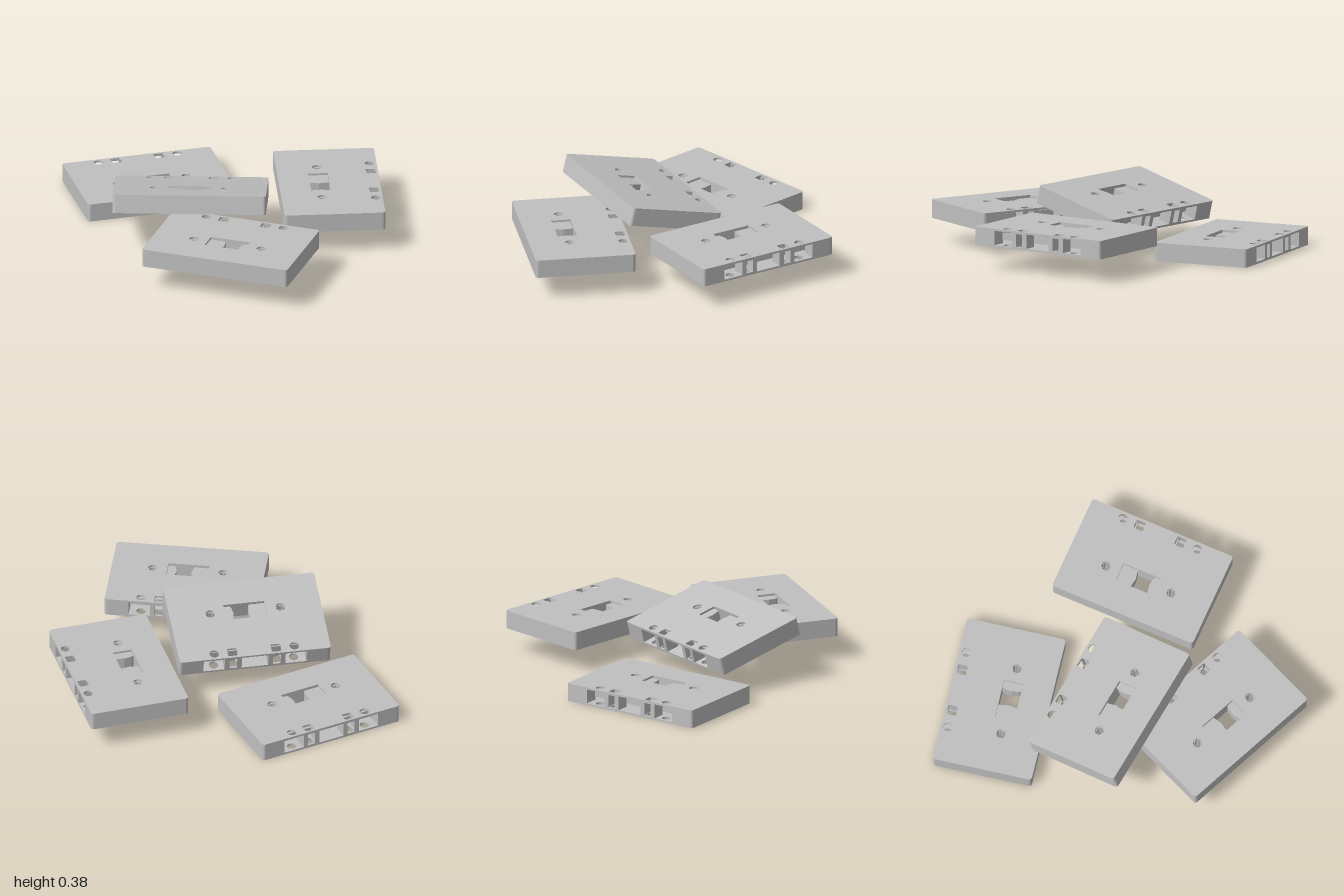
import * as THREE from 'three';

const W = 0.44, D = 0.29, H = 0.107;      // half width, half depth, height
const T = 0.012, WALL = 0.015;            // plate and wall thickness
const HUB_X = 0.204, HUB_Z = 0.056;       // spool centres
const SLOT = 0.30;                        // half length of the open edge
const POST_X = 0.127, HOLE_Z = -0.249;

const grey = new THREE.MeshStandardMaterial({ color: 0xc0c0c0 });
grey.name = 'grey plastic';

// Shapes are drawn looking down on the shell: shape y is -z
function roundedRect(target, cx, cz, w, d, r) {
  const x0 = cx - w / 2, x1 = cx + w / 2, y0 = -cz - d / 2, y1 = -cz + d / 2;
  target.moveTo(x0 + r, y0);
  target.lineTo(x1 - r, y0).quadraticCurveTo(x1, y0, x1, y0 + r);
  target.lineTo(x1, y1 - r).quadraticCurveTo(x1, y1, x1 - r, y1);
  target.lineTo(x0 + r, y1).quadraticCurveTo(x0, y1, x0, y1 - r);
  target.lineTo(x0, y0 + r).quadraticCurveTo(x0, y0, x0 + r, y0);
  return target;
}

function circle(target, cx, cz, r) {
  target.absarc(cx, -cz, r, 0, Math.PI * 2, false);
  return target;
}

// Extrude a plan shape upward, centred on height y
function slab(shape, height, y) {
  const g = new THREE.ExtrudeGeometry(shape, { depth: height, bevelEnabled: false, curveSegments: 10 });
  g.rotateX(-Math.PI / 2);
  g.translate(0, y - height / 2, 0);
  return g;
}

function add(group, name, geometry) {
  const mesh = new THREE.Mesh(geometry, grey);
  mesh.name = name;
  group.add(mesh);
}

function box(w, h, d, x, y, z) {
  return new THREE.BoxGeometry(w, h, d).translate(x, y, z);
}

// Face plate with spool holes, window and guide holes
function plateShape() {
  const s = roundedRect(new THREE.Shape(), 0, 0, W * 2, D * 2, 0.02);
  s.holes.push(roundedRect(new THREE.Path(), 0, HUB_Z, 0.238, 0.112, 0.001));
  for (const side of [-1, 1]) {
    s.holes.push(circle(new THREE.Path(), side * HUB_X, HUB_Z, 0.027));
    s.holes.push(circle(new THREE.Path(), side * 0.233, HOLE_Z, 0.027));
    s.holes.push(roundedRect(new THREE.Path(), side * POST_X, HOLE_Z, 0.058, 0.056, 0.012));
  }
  return s;
}

// Outer wall, open along the head edge and returning inward at the slot ends
function wallShape() {
  const s = new THREE.Shape(), r = 0.02, i = WALL, back = D - 0.085;
  s.moveTo(-SLOT, D);
  s.lineTo(-W + r, D).quadraticCurveTo(-W, D, -W, D - r);
  s.lineTo(-W, -D + r).quadraticCurveTo(-W, -D, -W + r, -D);
  s.lineTo(W - r, -D).quadraticCurveTo(W, -D, W, -D + r);
  s.lineTo(W, D - r).quadraticCurveTo(W, D, W - r, D);
  s.lineTo(SLOT, D).lineTo(SLOT, back).lineTo(SLOT + i, back).lineTo(SLOT + i, D - i);
  s.lineTo(W - i, D - i).lineTo(W - i, -D + i).lineTo(-W + i, -D + i).lineTo(-W + i, D - i);
  s.lineTo(-SLOT - i, D - i).lineTo(-SLOT - i, back).lineTo(-SLOT, back).closePath();
  return s;
}

// Wound spool whose hub hole carries six small teeth
function spoolShape(x, radius) {
  const s = circle(new THREE.Shape(), x, HUB_Z, radius);
  const pts = [];
  for (let k = 0; k < 6; k++) {
    for (const [da, r] of [[-0.38, 0.026], [0, 0.027], [0.38, 0.026], [0.42, 0.021], [0.62, 0.021]]) {
      const a = k * Math.PI / 3 + da;
      pts.push(new THREE.Vector2(x + r * Math.cos(a), -HUB_Z + r * Math.sin(a)));
    }
  }
  s.holes.push(new THREE.Path(pts));
  return s;
}

// Framed post on the head edge, with a small window in its front
function postFrame(x) {
  const w = 0.05, h = H / 2 - T;
  const s = new THREE.Shape();
  s.moveTo(x - w, -h).lineTo(x + w, -h).lineTo(x + w, h).lineTo(x - w, h).closePath();
  const hole = new THREE.Path();
  hole.moveTo(x - 0.022, -0.037).lineTo(x - 0.022, 0.037).lineTo(x + 0.022, 0.037).lineTo(x + 0.022, -0.037).closePath();
  s.holes.push(hole);
  return new THREE.ExtrudeGeometry(s, { depth: 0.012, bevelEnabled: false }).translate(0, 0, -D);
}

function cassette(name) {
  const g = new THREE.Group();
  g.name = name;
  const inner = H - 2 * T;
  for (const side of [-1, 1]) {
    add(g, side > 0 ? 'topPlate' : 'bottomPlate', slab(plateShape(), T, side * (H - T) / 2));
  }
  add(g, 'outerWall', slab(wallShape(), inner, 0));
  add(g, 'fullSpool', slab(spoolShape(-HUB_X, 0.185), 0.074, 0));
  add(g, 'emptySpool', slab(spoolShape(HUB_X, 0.137), 0.074, 0));
  add(g, 'tapeStrip', box(SLOT * 2, 0.044, 0.004, 0, 0, -0.21));
  for (const side of [-1, 1]) {
    add(g, 'windowWall', box(0.25, inner, 0.006, 0, 0, HUB_Z + side * 0.059));
    add(g, 'postFrame', postFrame(side * POST_X));
    for (const edge of [-1, 1]) {
      add(g, 'postSide', box(0.014, inner, 0.066, side * POST_X + edge * 0.043, 0, -0.245));
    }
  }
  return g;
}

export function createModel() {
  const model = new THREE.Group();
  model.name = 'cassettePile';
  // name, position, yaw and tilt in degrees
  const layout = [
    ['backCassette', [-0.407, 0.0535, -0.63], 11.4, 0],
    ['frontCassette', [-0.016, 0.192, 0.563], -22.7, 0],
    ['leftCassette', [0.598, 0.192, -0.185], -89.3, 0],
    ['leaningCassette', [-0.21, 0.263, -0.017], -5.5, -13.9],
  ];
  for (const [name, position, yaw, tilt] of layout) {
    const c = cassette(name);
    c.position.set(...position);
    c.rotation.set(THREE.MathUtils.degToRad(tilt), THREE.MathUtils.degToRad(yaw), 0, 'YXZ');
    model.add(c);
  }
  return model;
}
